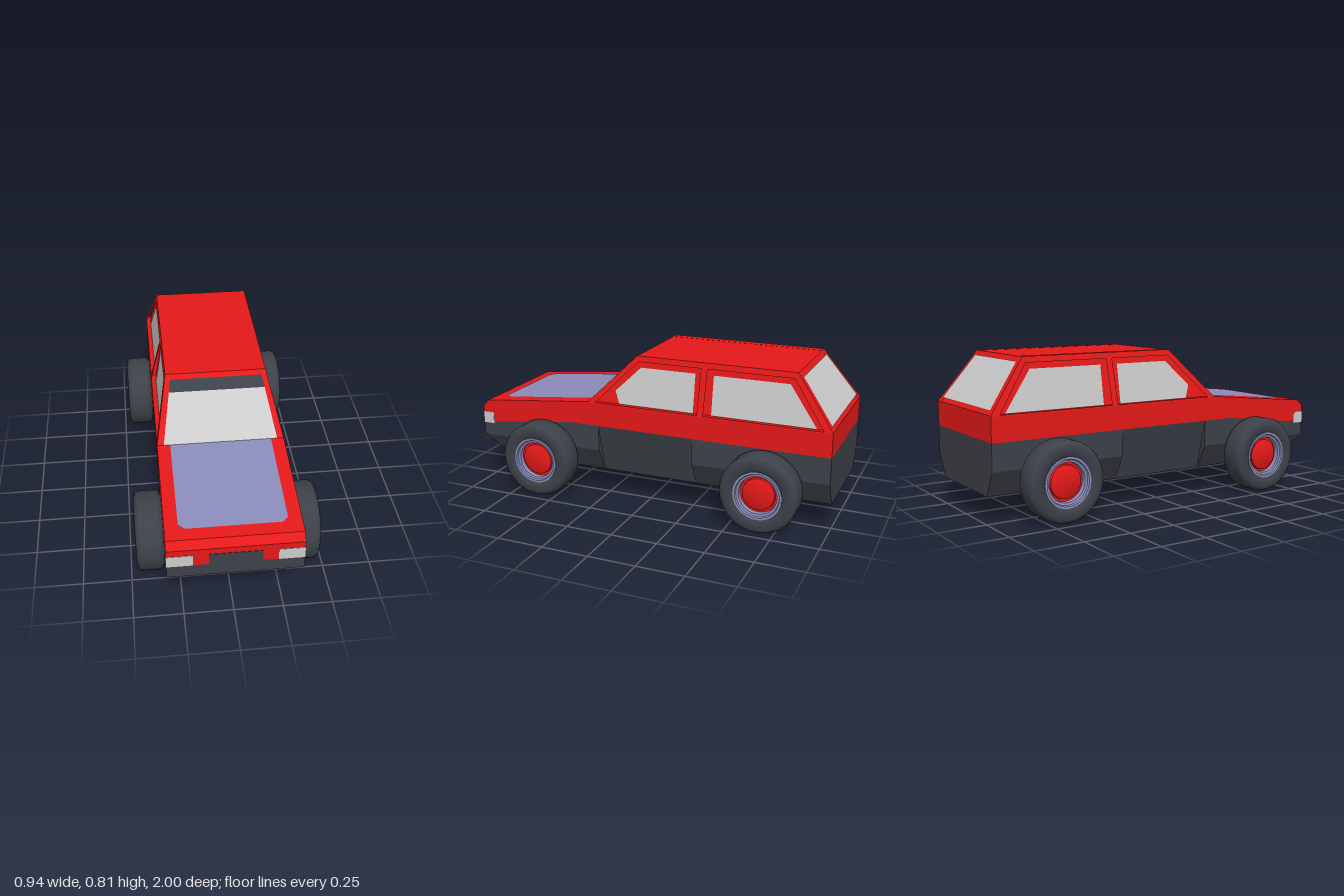
import * as THREE from 'three';
import { toCreasedNormals } from 'three/addons/utils/BufferGeometryUtils.js';

const RED = 0xe61919, DARK = 0x3d4149, GREY = 0xcccccc, LILAC = 0x8c8cba;
const mat = (color, extra = {}) => new THREE.MeshStandardMaterial({ color, ...extra });

function add(parent, name, geometry, color, extra) {
  const mesh = new THREE.Mesh(geometry, mat(color, extra));
  mesh.name = name;
  parent.add(mesh);
  return mesh;
}

function triangles(points) {
  const g = new THREE.BufferGeometry();
  g.setAttribute('position', new THREE.Float32BufferAttribute(points.flat(), 3));
  g.computeVertexNormals();
  return g;
}

// Solid from mirrored cross-sections, front to back: [z, [[x, y] from top to bottom]]
function loft(sections) {
  const rings = sections.map(([z, half]) => [
    [half[0][0], half[0][1], z],
    ...half.map(([x, y]) => [-x, y, z]),
    ...half.slice(1).reverse().map(([x, y]) => [x, y, z]),
  ]);
  const n = rings[0].length, out = [];
  for (let k = 0; k < rings.length - 1; k++) {
    const a = rings[k], b = rings[k + 1];
    for (let i = 0; i < n; i++) {
      const j = (i + 1) % n;
      out.push(a[i], b[i], a[j], a[j], b[i], b[j]);
    }
  }
  const first = rings[0], last = rings[rings.length - 1];
  for (let i = 1; i < n - 1; i++) {
    out.push(first[0], first[i], first[i + 1], last[0], last[i + 1], last[i]);
  }
  return triangles(out);
}

// Thin flat panel through a convex loop of corners
function panel(parent, name, color, p) {
  const out = [];
  for (let i = 1; i < p.length - 1; i++) out.push(p[0], p[i], p[i + 1]);
  return add(parent, name, triangles(out), color, { side: THREE.DoubleSide });
}

// Symmetric panel: its +x corners are mirrored to close the loop
const mirrored = (p) => [...p, ...p.slice().reverse().map(([x, y, z]) => [-x, y, z])];

function box(parent, name, color, x0, x1, y0, y1, z0, z1) {
  const m = add(parent, name, new THREE.BoxGeometry(x1 - x0, y1 - y0, z1 - z0), color);
  m.position.set((x0 + x1) / 2, (y0 + y1) / 2, (z0 + z1) / 2);
}

// Side frame of the cabin: a plate with two openings, leaning in with height
function sideFrame() {
  const pts = (list) => list.map(([z, y]) => new THREE.Vector2(-z, y));
  const shape = new THREE.Shape(pts([[0.33, 0.535], [0.33, 0.54], [0.065, 0.805], [-0.8, 0.805], [-1, 0.54], [-1, 0.535]]));
  shape.holes.push(
    new THREE.Path(pts([[0.285, 0.541], [0.055, 0.775], [-0.295, 0.775], [-0.295, 0.541]])),
    new THREE.Path(pts([[-0.33, 0.541], [-0.33, 0.775], [-0.785, 0.775], [-0.955, 0.541]])),
  );
  const g = new THREE.ExtrudeGeometry(shape, { depth: 0.045, bevelEnabled: false });
  g.rotateY(Math.PI / 2);
  const p = g.attributes.position;
  for (let i = 0; i < p.count; i++) {
    p.setX(i, p.getX(i) + 0.288 - (p.getY(i) - 0.54) * 0.249);
  }
  g.computeVertexNormals();
  return g;
}

// Turned part around the x axis: [radius, x] from inside to outside
function turned(profile) {
  const g = new THREE.LatheGeometry(profile.map(([r, x]) => new THREE.Vector2(r, x)), 40);
  return toCreasedNormals(g.rotateZ(-Math.PI / 2), 0.7);
}

function wheel(name) {
  const w = new THREE.Group();
  w.name = name;
  add(w, 'tyre', turned([[0, 0.327], [0.18, 0.327], [0.197, 0.336], [0.205, 0.352], [0.205, 0.443],
    [0.197, 0.459], [0.18, 0.468], [0.14, 0.468], [0.126, 0.458], [0.126, 0.42]]), DARK);
  add(w, 'rim', turned([[0.127, 0.43], [0.127, 0.463], [0.116, 0.463], [0.112, 0.453], [0.1, 0.45], [0.098, 0.42]]),
    LILAC, { side: THREE.DoubleSide });
  add(w, 'hub', turned([[0.1, 0.425], [0.086, 0.425], [0.084, 0.438], [0.07, 0.445], [0, 0.448]]), RED);
  return w;
}

export function createModel() {
  const model = new THREE.Group();
  model.name = 'car';
  const body = new THREE.Group();
  body.name = 'body';
  body.position.x = 0.005;
  model.add(body);
  const W = 0.333, B = 0.265;

  // Lower body, with tapered sills between the wheels
  const low = (z, top, mid = W, bx = B, by = 0.14) => [z, [[W, top], [mid, 0.27], [bx, by]]];
  add(body, 'lowerBody', loft([
    low(1, 0.34, W, W, 0.27), low(0.87, 0.357), low(0.45, 0.41), low(0.27, 0.41),
    low(0.269, 0.41, 0.298), low(-0.269, 0.41, 0.298), low(-0.27, 0.41), low(-1, 0.41),
  ]), DARK);

  // Upper body with the sloping bonnet
  const up = (z, top, bottom) => [z, [[W, top], [W, bottom]]];
  add(body, 'upperBody', loft([
    up(1, 0.44, 0.34), up(0.965, 0.475, 0.345), up(0.45, 0.528, 0.41), up(0.33, 0.54, 0.41), up(-1, 0.54, 0.41),
  ]), RED);
  const bonnet = (x, z) => [x, 0.543 - (z - 0.33) * 0.1024, z];
  panel(body, 'bonnetPanel', LILAC, mirrored([bonnet(0.265, 0.332), bonnet(0.265, 0.87), bonnet(0.235, 0.9)]));

  // Nose
  box(body, 'grille', DARK, -0.13, 0.13, 0.338, 0.406, 0.96, 1.002);
  for (const s of [-1, 1]) {
    const x = [s * 0.205, s * 0.335].sort((a, b) => a - b);
    box(body, 'headlight', GREY, x[0], x[1], 0.34, 0.405, 0.935, 1.002);
  }

  // Cabin core and roof, inset between the side frames
  const core = (z, y) => [z, [[0.305 - (y - 0.54) * 0.165, y], [0.305, 0.535]]];
  add(body, 'cabinCore', loft([core(0.329, 0.54), core(0.065, 0.804), core(-0.8, 0.804), core(-0.999, 0.54)]), RED);

  // Front and rear glass
  const front = (x, y) => [x, y + 0.003, 0.333 - (y - 0.54)];
  panel(body, 'windscreen', GREY, mirrored([front(0.298, 0.54), front(0.254, 0.735)]));
  panel(body, 'sunStrip', DARK, mirrored([front(0.254, 0.735), front(0.243, 0.783)]));
  const rear = (x, y) => [x, y + 0.002, -1.002 + (y - 0.54) * 0.755];
  panel(body, 'rearWindow', GREY, mirrored([rear(0.297, 0.56), rear(0.245, 0.78)]));

  // Side frames and side glass
  const frame = sideFrame();
  const windows = {
    frontSideWindow: [[0.18, 0.61], [0.04, 0.745], [-0.265, 0.745], [-0.265, 0.542], [0.155, 0.542]],
    rearSideWindow: [[-0.365, 0.542], [-0.365, 0.745], [-0.765, 0.745], [-0.915, 0.542]],
  };
  for (const s of [-1, 1]) {
    add(body, 'sideFrame', frame, RED).scale.x = s;
    for (const [name, pts] of Object.entries(windows)) {
      panel(body, name, GREY, pts.map(([z, y]) => [s * (0.308 - (y - 0.54) * 0.165), y, z]));
    }
  }

  // Wheels
  for (const [name, z] of [['frontWheel', 0.6], ['rearWheel', -0.665]]) {
    for (const s of [-1, 1]) {
      const w = wheel(name);
      w.position.set(0, 0.205, z);
      if (s < 0) w.rotation.y = Math.PI;
      model.add(w);
    }
  }
  return model;
}
